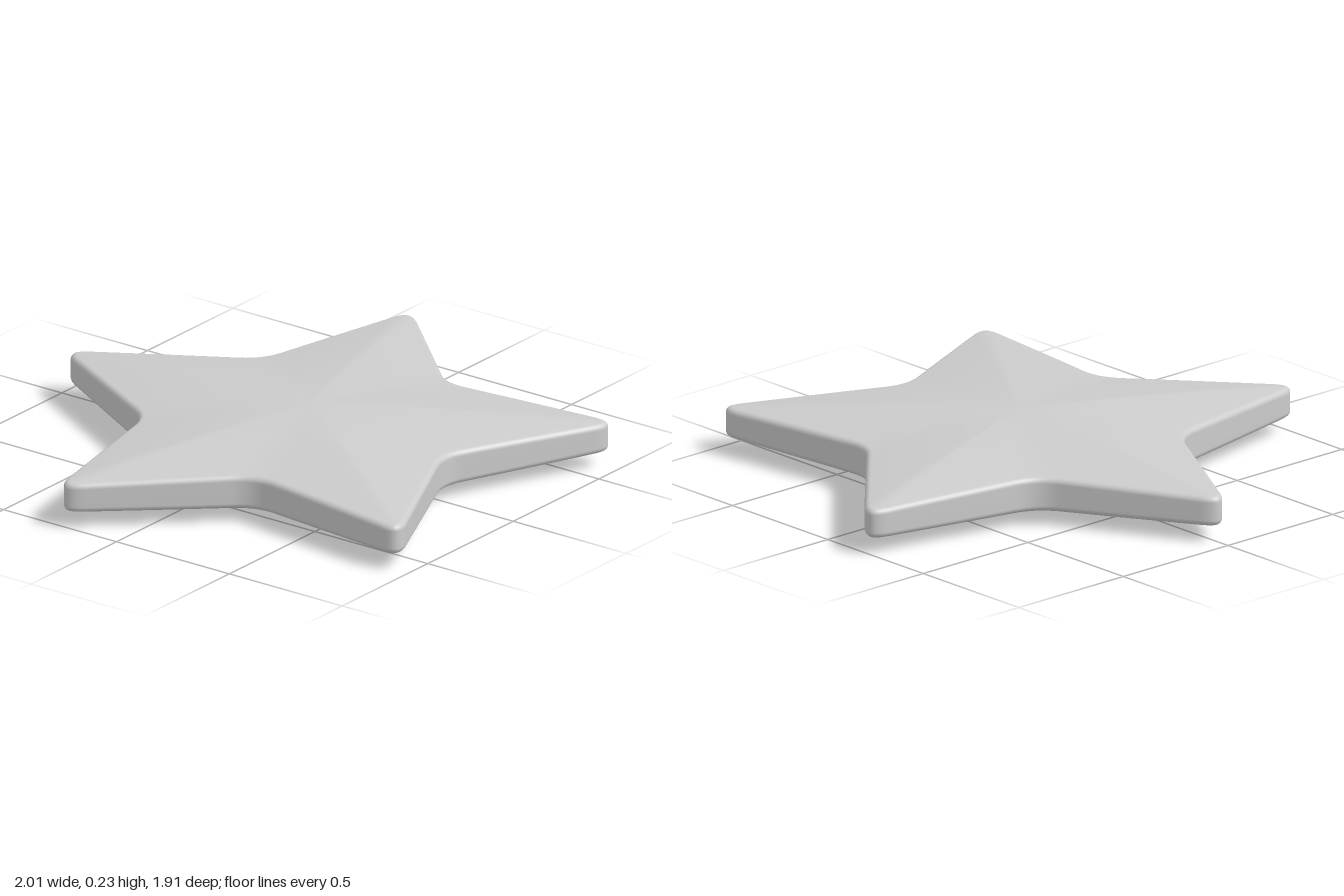
import * as THREE from 'three';

const TIP = 1.1, VALLEY = 0.587;         // sharp corner radii before rounding
const CENTRE_Y = 0.115, CENTRE_Z = 0.1;
const FILLET = 0.022;

// Five-pointed outline with rounded tips and valleys
function starOutline() {
  const corner = (i) => {
    const a = (i * Math.PI) / 5, r = i % 2 ? VALLEY : TIP;
    return new THREE.Vector2(r * Math.sin(a), -r * Math.cos(a));
  };
  const pts = [];
  for (let i = 0; i < 10; i++) {
    const p = corner(i), prev = corner(i + 9), next = corner(i + 1);
    const cut = i % 2 ? 0.085 : 0.108;
    const toward = (q, d) => p.clone().add(q.clone().sub(p).setLength(d));
    const start = toward(prev, cut), end = toward(next, cut);
    const bend = new THREE.QuadraticBezierCurve(start, p, end);
    pts.push(...bend.getPoints(12));
    const edgeEnd = next.clone().add(p.clone().sub(next).setLength(i % 2 ? 0.108 : 0.085));
    for (let k = 1; k < 12; k++) pts.push(end.clone().lerp(edgeEnd, k / 12));
  }
  return pts;
}

function starGeometry() {
  const outline = starOutline(), n = outline.length;
  const normals = outline.map((_, i) => {
    const t = outline[(i + 1) % n].clone().sub(outline[(i + n - 1) % n]).normalize();
    return new THREE.Vector2(t.y, -t.x);
  });
  // Half thickness at the rim: thinnest at the tips
  const rim = outline.map((p) => 0.055 + 0.02 * (1.05 - p.length()));

  // Upper half profile: rim fillet, then domed face running in to the centre
  const steps = [];
  for (let k = 0; k <= 6; k++) steps.push({ a: (k / 6) * Math.PI / 2, t: 1 });
  for (let k = 1; k <= 24; k++) steps.push({ a: Math.PI / 2, t: 1 - k / 24 });
  const rings = [
    ...steps.slice().reverse().map((s) => ({ ...s, side: -1 })),
    ...steps.map((s) => ({ ...s, side: 1 })),
  ];

  const pos = [], index = [];
  rings.forEach(({ a, t, side }, j) => {
    for (let i = 0; i < n; i++) {
      const inset = FILLET * (1 - Math.cos(a));
      const p = outline[i].clone().addScaledVector(normals[i], -inset).multiplyScalar(t);
      const dome = (CENTRE_Y - rim[i]) * (1 - Math.pow(t, 1.6));
      const h = rim[i] - FILLET * (1 - Math.sin(a)) + dome;
      pos.push(p.x, CENTRE_Y + side * h, p.y + CENTRE_Z);
      if (j === rings.length - 1) continue;
      const b = j * n + i, c = j * n + ((i + 1) % n);
      if (j > 0) index.push(b, b + n, c);
      if (j < rings.length - 2) index.push(c, b + n, c + n);
      if (j === 0) continue;
    }
  });
  const g = new THREE.BufferGeometry();
  g.setAttribute('position', new THREE.Float32BufferAttribute(pos, 3));
  g.setIndex(index);
  g.computeVertexNormals();
  // Centre points share a straight up or down normal
  const nor = g.attributes.normal;
  for (let i = 0; i < n; i++) {
    nor.setXYZ(i, 0, -1, 0);
    nor.setXYZ((rings.length - 1) * n + i, 0, 1, 0);
  }
  return g;
}

export function createModel() {
  const group = new THREE.Group();
  group.name = 'star';
  const body = new THREE.Mesh(starGeometry(), new THREE.MeshStandardMaterial({ color: 0xcccccc }));
  body.name = 'starBody';
  group.add(body);
  return group;
}
